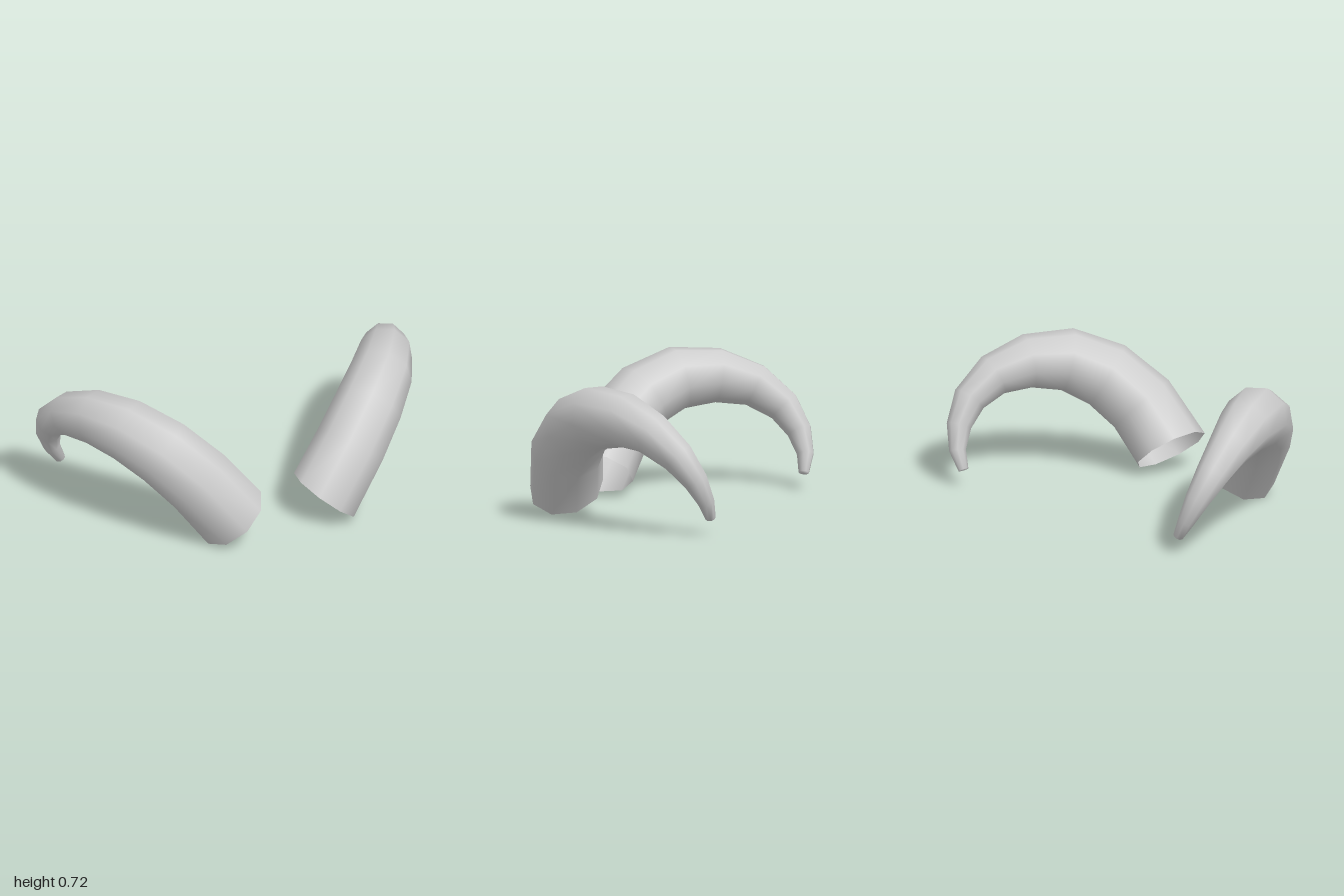
import * as THREE from 'three';

const SIDES = 9;

// Centre line of one horn from open base to tip: x, y, z, radius
const RINGS = [
  [0.26, 0.117, 0.39, 0.193],
  [0.425, 0.335, 0.335, 0.188],
  [0.57, 0.478, 0.232, 0.18],
  [0.705, 0.561, 0.085, 0.165],
  [0.81, 0.567, -0.095, 0.142],
  [0.885, 0.512, -0.27, 0.113],
  [0.912, 0.405, -0.415, 0.088],
  [0.895, 0.285, -0.503, 0.065],
  [0.858, 0.172, -0.547, 0.044],
  [0.806, 0.082, -0.554, 0.027],
];

// Tapering tube swept along the centre line; side is +1 (left) or -1 (right)
function hornGeometry(side) {
  const centres = RINGS.map(([x, y, z]) => new THREE.Vector3(x, y, z));
  const last = centres.length - 1;
  const positions = [];
  const index = [];
  const ref = new THREE.Vector3(0, 0, 1);

  centres.forEach((c, i) => {
    // The base is cut square to the sideways-and-up direction
    const tangent = i === 0
      ? new THREE.Vector3(0.63, 0.78, 0)
      : centres[Math.min(i + 1, last)].clone().sub(centres[i - 1]);
    tangent.normalize();
    // Carry the ring orientation along without twisting
    ref.addScaledVector(tangent, -ref.dot(tangent)).normalize();
    const across = new THREE.Vector3().crossVectors(tangent, ref);
    for (let j = 0; j < SIDES; j++) {
      const a = (j / SIDES) * Math.PI * 2;
      const p = c.clone()
        .addScaledVector(ref, Math.cos(a) * RINGS[i][3])
        .addScaledVector(across, Math.sin(a) * RINGS[i][3]);
      positions.push(p.x * side, p.y, p.z);
    }
  });

  // Mirroring reverses the corner order
  const face = (a, b, c) => (side > 0 ? index.push(a, b, c) : index.push(a, c, b));
  for (let i = 0; i < last; i++) {
    for (let j = 0; j < SIDES; j++) {
      const a = i * SIDES + j;
      const b = i * SIDES + ((j + 1) % SIDES);
      face(a, b, b + SIDES);
      face(a, b + SIDES, a + SIDES);
    }
  }
  // Closed tip
  const tip = last * SIDES;
  for (let j = 1; j < SIDES - 1; j++) face(tip, tip + j, tip + j + 1);

  const geometry = new THREE.BufferGeometry();
  geometry.setAttribute('position', new THREE.Float32BufferAttribute(positions, 3));
  geometry.setIndex(index);
  geometry.computeVertexNormals();
  return geometry;
}

export function createModel() {
  const group = new THREE.Group();
  group.name = 'horns';
  // Double-sided because the base is open
  const material = new THREE.MeshStandardMaterial({ color: 0xcccccc, side: THREE.DoubleSide });
  for (const [name, side] of [['leftHorn', 1], ['rightHorn', -1]]) {
    const horn = new THREE.Mesh(hornGeometry(side), material);
    horn.name = name;
    group.add(horn);
  }
  return group;
}
